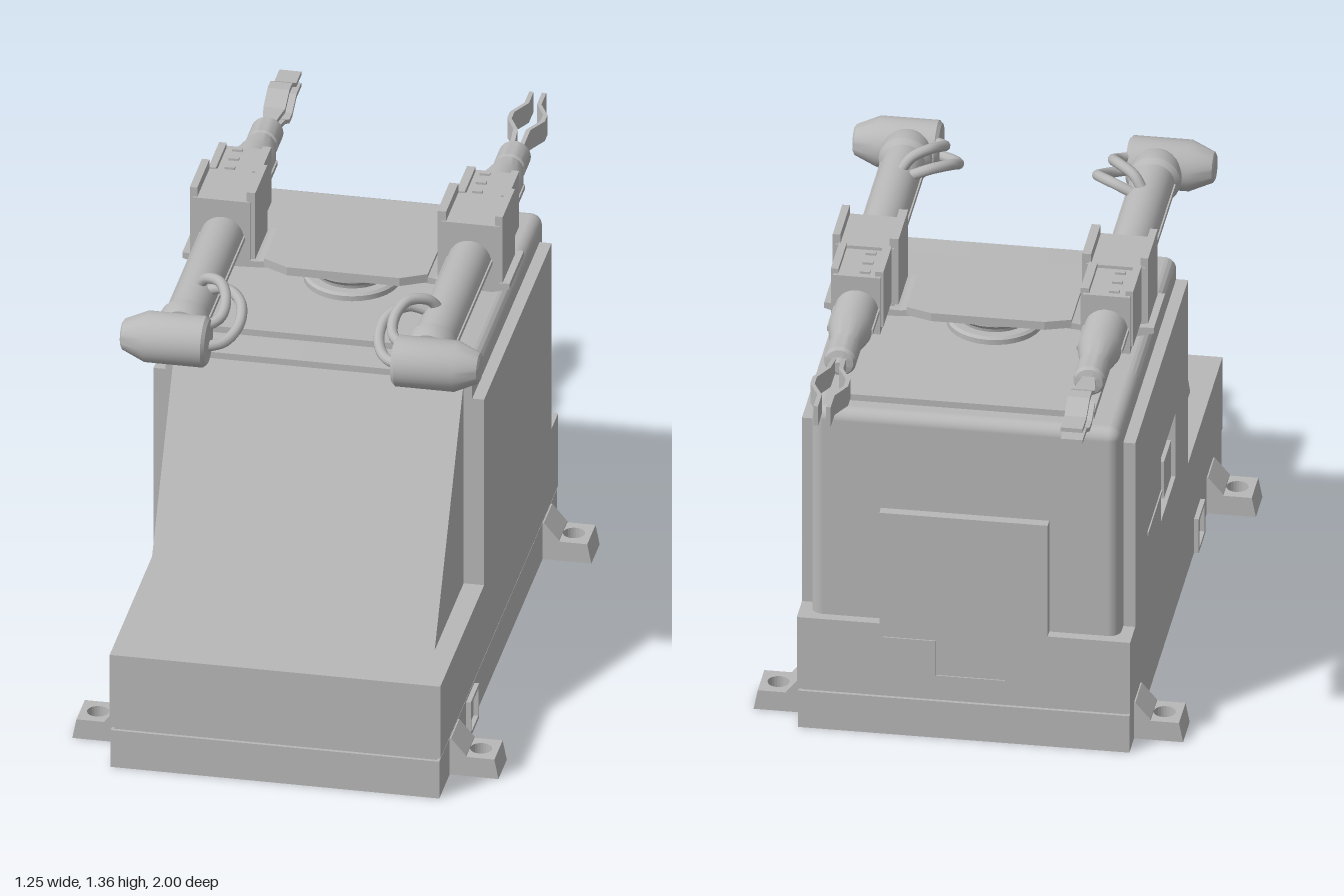
import * as THREE from 'three';
import { RoundedBoxGeometry } from 'three/addons/geometries/RoundedBoxGeometry.js';
import { toCreasedNormals } from 'three/addons/utils/BufferGeometryUtils.js';

const grey = new THREE.MeshStandardMaterial({ color: 0xb8b8b8 });
grey.name = 'plain grey';

function add(parent, name, geometry) {
  const mesh = new THREE.Mesh(geometry, grey);
  mesh.name = name;
  parent.add(mesh);
  return mesh;
}

// Box given by its limits on each axis
function box(parent, name, x0, x1, y0, y1, z0, z1) {
  const g = new THREE.BoxGeometry(x1 - x0, y1 - y0, z1 - z0);
  g.translate((x0 + x1) / 2, (y0 + y1) / 2, (z0 + z1) / 2);
  return add(parent, name, g);
}

const outline = (points) => new THREE.Shape(points.map(([x, y]) => new THREE.Vector2(x, y)));
const extrude = (shape, depth) =>
  new THREE.ExtrudeGeometry(shape, { depth, bevelEnabled: false, curveSegments: 12 });

// Turned part around the y axis from [radius, height] pairs
function turned(points, sides = 32) {
  const g = new THREE.LatheGeometry(points.map(([r, h]) => new THREE.Vector2(r, h)), sides);
  return toCreasedNormals(g, 0.5);
}

function rectHole(u0, u1, v0, v1) {
  return new THREE.Path([[u0, v0], [u1, v0], [u1, v1], [u0, v1]].map(([u, v]) => new THREE.Vector2(u, v)));
}

function buildBase(root) {
  const base = new THREE.Group();
  base.name = 'base';
  root.add(base);
  box(base, 'basePlate', -0.482, 0.482, 0, 0.12, -0.69, 1);
  box(base, 'shadowGap', -0.472, 0.472, 0.11, 0.14, -0.68, 0.99);
  box(base, 'lowerBody', -0.485, 0.485, 0.13, 0.365, -0.695, 1);

  for (const side of [-1, 1]) {
    // Framed socket on the side of the base plate
    const frame = outline([[0.495, 0], [0.615, 0], [0.615, 0.112], [0.495, 0.112]]);
    frame.holes.push(rectHole(0.507, 0.603, 0.012, 0.1));
    const socket = extrude(frame, 0.016);
    socket.rotateY(-Math.PI / 2);
    socket.translate(side > 0 ? 0.496 : -0.48, 0, 0);
    add(base, 'sideSocket', socket);

    // Bolt-down feet, each a pierced pad with a sloping web
    for (const z of [0.79, -0.545]) {
      const pad = outline([[-0.06, -0.07], [0.06, -0.07], [0.06, 0.075], [-0.06, 0.075]]);
      const hole = new THREE.Path();
      hole.absarc(0, 0.012, 0.032, 0, Math.PI * 2, true);
      pad.holes.push(hole);
      const padGeo = extrude(pad, 0.062);
      padGeo.rotateX(-Math.PI / 2);
      padGeo.rotateY(-side * Math.PI / 2);
      padGeo.translate(side * 0.55, 0, z);
      // Draft on the outer end of the pad
      const p = padGeo.attributes.position;
      for (let i = 0; i < p.count; i++) {
        if (Math.abs(p.getX(i)) > 0.61 && p.getY(i) > 0.03) p.setX(i, side * 0.613);
      }
      padGeo.computeVertexNormals();
      add(base, 'footPad', padGeo);
      const web = extrude(outline([[0.475, 0.05], [0.53, 0.05], [0.53, 0.066], [0.486, 0.118], [0.475, 0.118]]), 0.12);
      web.translate(0, 0, -0.06);
      if (side < 0) web.rotateY(Math.PI);
      web.translate(0, 0, z);
      add(base, 'footWeb', web);
    }
  }
}

function buildCabinet(root) {
  const cabinet = new THREE.Group();
  cabinet.name = 'cabinet';
  root.add(cabinet);

  // Rounded shell with a crisp front edge
  const shell = new RoundedBoxGeometry(0.9, 0.84, 0.965, 4, 0.035);
  shell.translate(0, 0.62, -0.1825);
  add(cabinet, 'cabinetShell', shell);
  const arch = outline([[-0.45, 0.3], [0.45, 0.3], [0.45, 1.005]]);
  arch.absarc(0.415, 1.005, 0.035, 0, Math.PI / 2);
  arch.absarc(-0.415, 1.005, 0.035, Math.PI / 2, Math.PI);
  const front = extrude(arch, 0.67);
  front.translate(0, 0, -0.3);
  add(cabinet, 'cabinetFront', toCreasedNormals(front, 0.5));

  // Sloping nose
  const nose = extrude(outline([[-0.79, 0.36], [-0.3, 0.36], [-0.3, 1.02], [-0.37, 1.02]]), 0.85);
  nose.rotateY(Math.PI / 2);
  nose.translate(-0.425, 0, 0);
  add(cabinet, 'slopedNose', nose);

  // Side panels; the right one has a recess with a small hatch
  box(cabinet, 'leftSidePanel', 0.44, 0.485, 0.36, 0.97, -0.6, 0.37);
  const panel = outline([[-0.6, 0.36], [0.37, 0.36], [0.37, 0.97], [-0.6, 0.97]]);
  panel.holes.push(rectHole(-0.127, 0.14, 0.45, 0.66));
  const panelGeo = extrude(panel, 0.045);
  panelGeo.rotateY(-Math.PI / 2);
  panelGeo.translate(-0.44, 0, 0);
  add(cabinet, 'rightSidePanel', panelGeo);
  box(cabinet, 'recessHatch', -0.475, -0.44, 0.46, 0.58, -0.01, 0.12);
  box(cabinet, 'panelSeam', -0.489, -0.48, 0.545, 0.555, -0.38, -0.127);

  // Rear door and stepped seam
  box(cabinet, 'rearDoor', -0.245, 0.245, 0.36, 0.73, -0.695, -0.65);
  box(cabinet, 'rearSeam', 0.08, 0.235, 0.315, 0.323, -0.699, -0.69);
  box(cabinet, 'rearSeam', 0.08, 0.088, 0.21, 0.315, -0.699, -0.69);
  box(cabinet, 'rearSeam', -0.12, 0.088, 0.202, 0.21, -0.699, -0.69);

  // Top plate, turntable and cross bridge
  box(cabinet, 'topPlate', -0.365, 0.365, 1.03, 1.06, -0.6, 0.25);
  const turntable = add(cabinet, 'turntable', turned([
    [0, 0], [0.14, 0], [0.14, 0.018], [0.132, 0.025], [0.105, 0.025], [0.107, 0.035],
    [0.125, 0.052], [0.125, 0.075], [0, 0.075]]));
  turntable.position.set(0, 1.058, -0.113);
  const half = [[0.1, 1.147], [0.17, 1.147], [0.26, 1.135], [0.48, 1.142], [0.48, 1.124], [0.43, 1.11], [0.27, 1.116], [0.18, 1.122]];
  const mirrored = half.map(([x, y]) => [-x, y]).reverse();
  const bridge = extrude(outline([...half, ...mirrored].reverse()), 0.205);
  bridge.translate(0, 0, -0.225);
  add(cabinet, 'bridge', bridge);
  const hub = extrude(outline([[-0.24, -0.02], [-0.165, -0.05 + 0.03 - 0.04 + 0.02], [-0.165, 0.25], [-0.24, 0.225]]
    .slice(0, 1).concat([[-0.165, -0.02], [0.165, -0.02], [0.24, 0.02], [0.24, 0.225], [0.165, 0.25], [-0.165, 0.25], [-0.24, 0.225], [-0.24, 0.02]].slice(0, 8))
    .slice(1)), 0.026);
  hub.rotateX(-Math.PI / 2);
  hub.translate(0, 1.122, 0);
  add(cabinet, 'bridgeHub', hub);
}

// Two bowed fingers, built along -z and opening in x
function buildGripper() {
  const gripper = new THREE.Group();
  gripper.name = 'gripper';
  const path = [[0.006, 0.67], [0.012, 0.77], [0.042, 0.83], [0.042, 0.87], [0.012, 0.93], [0.012, 1]];
  const profile = [...path, ...path.map(([x, z]) => [x + 0.013, z]).reverse()];
  for (const side of [-1, 1]) {
    const g = extrude(outline(profile), 0.064);
    g.rotateX(-Math.PI / 2);
    g.translate(0, -0.032, 0);
    // Narrow the blade towards its root
    const p = g.attributes.position;
    for (let i = 0; i < p.count; i++) if (p.getZ(i) > -0.72) p.setY(i, p.getY(i) * 0.45);
    g.computeVertexNormals();
    add(gripper, 'finger', g).rotation.z = side > 0 ? 0 : Math.PI;
  }
  return gripper;
}

function buildArm(root, side) {
  const arm = new THREE.Group();
  arm.name = side > 0 ? 'leftArm' : 'rightArm';
  root.add(arm);
  const X = 0.363 * side, Y = 1.207;
  const sx = (name, a, b, ...rest) => box(arm, name, Math.min(a * side, b * side), Math.max(a * side, b * side), ...rest);

  // Main tube with collars and tapered wrist, running backwards
  const tube = add(arm, 'armTube', turned([
    [0, -0.58], [0.07, -0.58], [0.076, -0.56], [0.076, -0.515], [0.063, -0.5], [0.063, 0.49],
    [0.042, 0.585], [0.047, 0.59], [0.047, 0.67], [0.04, 0.68], [0.02, 0.685], [0.016, 0.71], [0, 0.71]]));
  tube.rotation.x = -Math.PI / 2;
  tube.position.set(X, Y, 0);
  box(arm, 'tubeRail', X - 0.067, X + 0.067, Y - 0.007, Y + 0.007, -0.49, 0.49);

  // Elbow drum lying across the front end
  const elbow = add(arm, 'elbow', turned([
    [0, -0.09], [0.065, -0.09], [0.075, -0.08], [0.075, 0.09], [0.045, 0.158], [0.036, 0.163], [0, 0.163]]));
  elbow.rotation.z = -side * Math.PI / 2;
  elbow.position.set(X, Y, 0.618);

  // Clamp block with raised cheeks
  sx('clampBlock', 0.28, 0.45, 1.13, 1.325, -0.205, -0.02);
  sx('innerCheek', 0.267, 0.293, 1.14, 1.355, -0.2, -0.025);
  sx('outerCheek', 0.437, 0.459, 1.14, 1.355, -0.2, -0.025);
  sx('rearClamp', 0.295, 0.432, 1.13, 1.315, -0.365, -0.2);
  sx('rearClampCheek', 0.287, 0.312, 1.15, 1.33, -0.355, -0.2);
  sx('rearClampCheek', 0.418, 0.44, 1.15, 1.33, -0.355, -0.2);
  for (const z of [-0.34, -0.285, -0.23]) {
    box(arm, 'clampRib', X - 0.035, X - 0.005, 1.31, 1.322, z - 0.006, z + 0.006);
  }

  // Hoses looping from tube to elbow
  const hoses = [
    [[0.33, 1.24, 0.37], [0.27, 1.26, 0.385], [0.215, 1.25, 0.44], [0.205, 1.215, 0.51], [0.235, 1.19, 0.575], [0.3, 1.185, 0.615]],
    [[0.355, 1.25, 0.37], [0.325, 1.29, 0.39], [0.275, 1.302, 0.43], [0.248, 1.28, 0.49], [0.255, 1.25, 0.55], [0.31, 1.235, 0.6]],
  ];
  for (const points of hoses) {
    const curve = new THREE.CatmullRomCurve3(points.map(([x, y, z]) => new THREE.Vector3(x * side, y, z)));
    add(arm, 'hose', new THREE.TubeGeometry(curve, 28, 0.016, 10));
  }

  const gripper = buildGripper();
  gripper.position.set(X, Y, 0);
  if (side < 0) gripper.rotation.z = Math.PI / 2;
  arm.add(gripper);
}

export function createModel() {
  const root = new THREE.Group();
  root.name = 'twinArmMachine';
  buildBase(root);
  buildCabinet(root);
  buildArm(root, 1);
  buildArm(root, -1);
  // Centre front to back
  return root;
}
